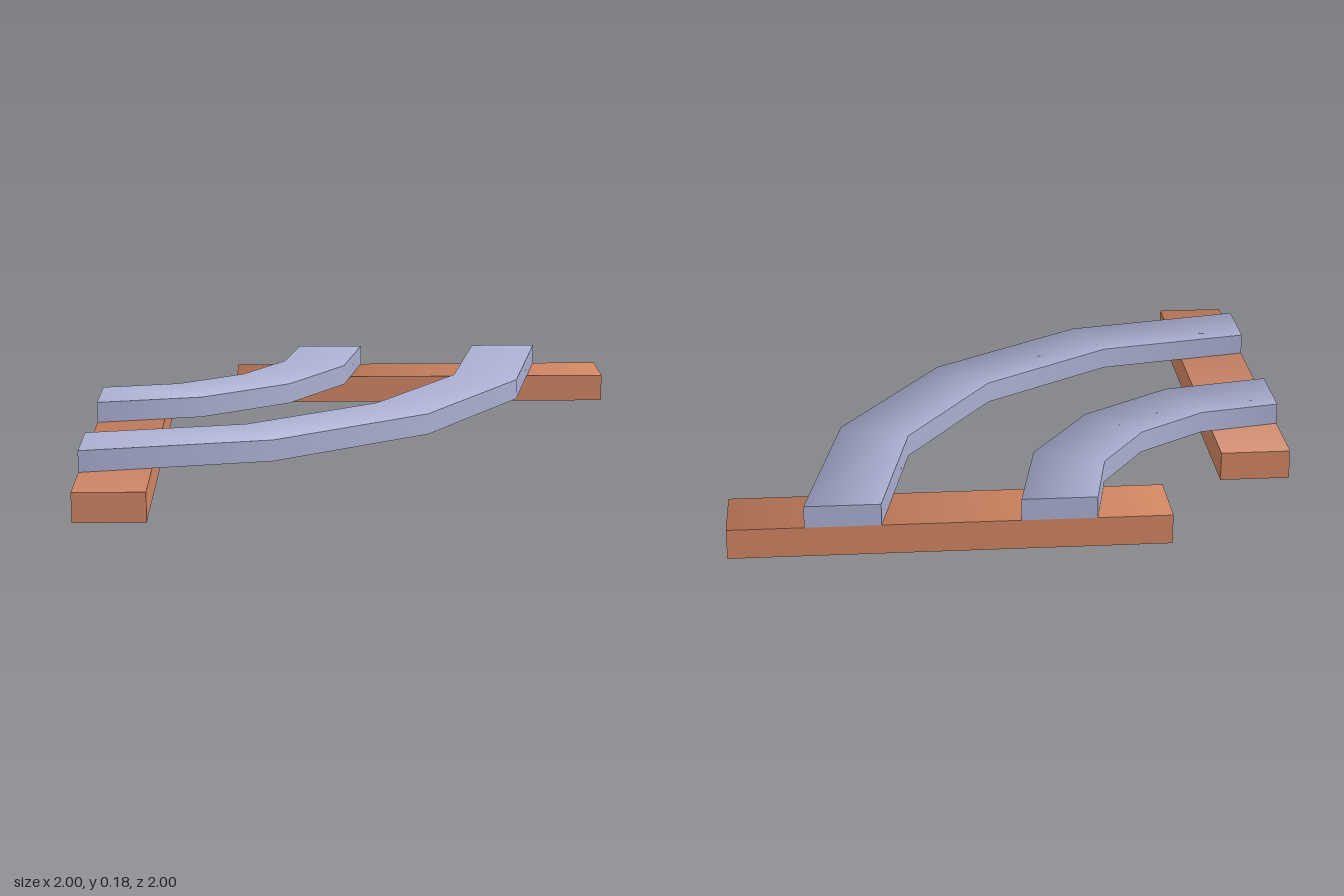
import * as THREE from 'three';
import { mergeGeometries } from 'three/addons/utils/BufferGeometryUtils.js';

const TIE_TOP = 0.105, RAIL_TOP = 0.182;

// Soften the top face by leaning its normals outwards at the edges
function leanTopNormals(geometry, outward) {
  const pos = geometry.attributes.position, nor = geometry.attributes.normal;
  const p = new THREE.Vector3(), n = new THREE.Vector3();
  for (let i = 0; i < pos.count; i++) {
    n.fromBufferAttribute(nor, i);
    if (n.y < 0.9) continue;
    n.add(outward(p.fromBufferAttribute(pos, i))).normalize();
    nor.setXYZ(i, n.x, n.y, n.z);
  }
  return geometry;
}

// Wooden tie lying along x
function tieGeometry() {
  const g = new THREE.BoxGeometry(1.5, TIE_TOP, 0.25);
  return leanTopNormals(g, (p) => new THREE.Vector3(Math.sign(p.x), 0, 0));
}

// Quarter-turn rail in four straight segments, with a rectangular section
function railGeometry(inner, outer) {
  const corners = [[inner, TIE_TOP], [outer, TIE_TOP], [outer, RAIL_TOP], [inner, RAIL_TOP]]
    .map(([r, y]) => new THREE.Vector2(r, y));
  const strips = corners.map((c, i) =>
    new THREE.LatheGeometry([c, corners[(i + 1) % 4]], 4, 0, Math.PI / 2));
  const middle = (inner + outer) / 2, midY = (TIE_TOP + RAIL_TOP) / 2;
  const cap = () => new THREE.PlaneGeometry(outer - inner, RAIL_TOP - TIE_TOP);
  strips.push(cap().rotateY(-Math.PI / 2).translate(0, midY, middle));
  strips.push(cap().rotateY(Math.PI).translate(middle, midY, 0));
  return leanTopNormals(mergeGeometries(strips), (p) => {
    const side = Math.hypot(p.x, p.z) > middle ? 1 : -1;
    return new THREE.Vector3(p.x, 0, p.z).normalize().multiplyScalar(side);
  });
}

export function createModel() {
  const model = new THREE.Group();
  model.name = 'curvedTrack';
  const wood = new THREE.MeshStandardMaterial({ color: 0xd08562 });
  wood.name = 'wood';
  const metal = new THREE.MeshStandardMaterial({ color: 0xa9aed0 });
  metal.name = 'metal';

  const add = (name, geometry, material, x, y, z) => {
    const mesh = new THREE.Mesh(geometry, material);
    mesh.name = name;
    mesh.position.set(x, y, z);
    model.add(mesh);
    return mesh;
  };

  // Ties at the two ends of the curve
  add('backTie', tieGeometry(), wood, 0.25, TIE_TOP / 2, -0.875);
  add('rightTie', tieGeometry(), wood, -0.875, TIE_TOP / 2, 0.25).rotation.y = Math.PI / 2;

  // Rails turn around the back right corner
  add('innerRail', railGeometry(0.757, 1.015), metal, -1, 0, -1);
  add('outerRail', railGeometry(1.483, 1.741), metal, -1, 0, -1);
  return model;
}
